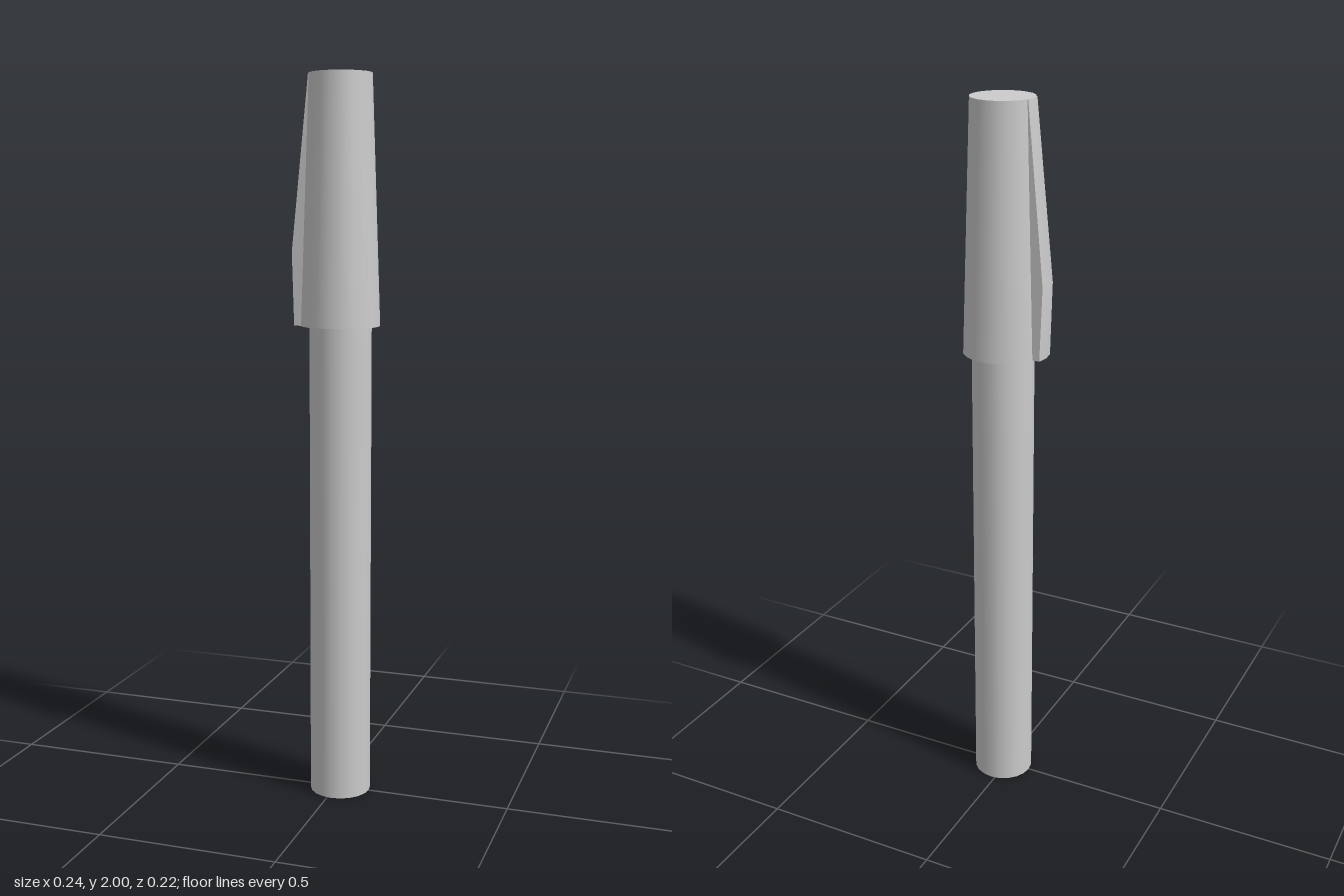
import * as THREE from 'three';
import { toCreasedNormals } from 'three/addons/utils/BufferGeometryUtils.js';

const SIDES = 20, AXIS_X = 0.012, CAP_Y = 1.33, TOP_Y = 2;
const CAP_R = 0.108, TOP_R = 0.085, BODY_R = 0.085;

// Radius of the tapering cap at height y
const capRadius = (y) => THREE.MathUtils.mapLinear(y, CAP_Y, TOP_Y, CAP_R, TOP_R);

// Clip: one side strip of the cap, pushed outward by a varying amount
function clipGeometry() {
  const angle = Math.PI / 10;
  const levels = [[CAP_Y, 0.02], [1.53, 0.033], [TOP_Y, 0.002]].map(([y, push]) => {
    const r = capRadius(y), x = -r * Math.cos(angle), z = r * Math.sin(angle);
    return [[x + 0.002, z], [x - push, z], [-r - push, 0], [x - push, -z], [x + 0.002, -z]]
      .map(([px, pz]) => new THREE.Vector3(px, y, pz));
  });
  const tris = [];
  for (let j = 0; j < 2; j++) {
    for (let i = 0; i < 4; i++) {
      const a = levels[j][i], b = levels[j][i + 1];
      const c = levels[j + 1][i + 1], d = levels[j + 1][i];
      tris.push(a, d, b, b, d, c);
    }
  }
  // Bottom and top ends
  const [low, , high] = levels;
  for (let i = 1; i < 4; i++) {
    tris.push(low[0], low[i], low[i + 1], high[0], high[i + 1], high[i]);
  }
  const geometry = new THREE.BufferGeometry().setFromPoints(tris);
  return toCreasedNormals(geometry, Math.PI / 7);
}

export function createModel() {
  const group = new THREE.Group();
  group.name = 'pen';
  const material = new THREE.MeshStandardMaterial({ color: 0xcccccc });

  const add = (name, geometry, y = 0) => {
    const mesh = new THREE.Mesh(geometry, material);
    mesh.name = name;
    mesh.position.set(AXIS_X, y, 0);
    group.add(mesh);
  };

  // Straight barrel, ending just inside the cap
  const barrelH = CAP_Y + 0.02;
  add('barrel', new THREE.CylinderGeometry(BODY_R, BODY_R, barrelH, SIDES), barrelH / 2);

  // Tapering cap with a flat lip around the barrel
  add('cap', new THREE.CylinderGeometry(TOP_R, CAP_R, TOP_Y - CAP_Y, SIDES), (CAP_Y + TOP_Y) / 2);

  add('clip', clipGeometry());
  return group;
}
